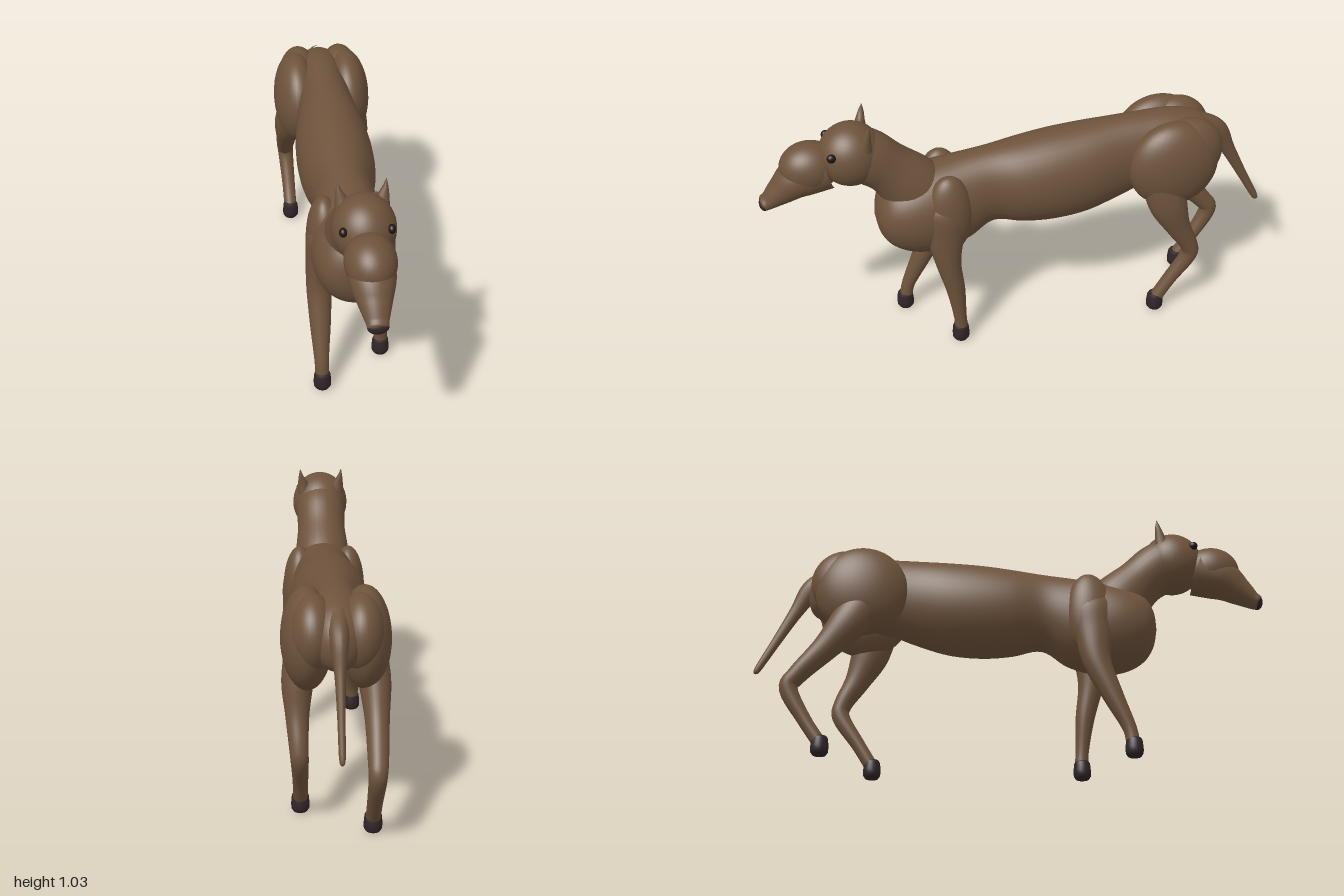
import * as THREE from 'three';

const coat = new THREE.MeshStandardMaterial({ color: 0x6e533c });
coat.name = 'brown coat';
const horn = new THREE.MeshStandardMaterial({ color: 0x31252a });
horn.name = 'dark hoof and nose';
const eyeDark = new THREE.MeshStandardMaterial({ color: 0x1e1617 });
eyeDark.name = 'eye black';

// Smooth skin over elliptical sections [x, y, z, half width in x, half thickness].
function loft(sections, upright = false, sides = 28, perSpan = 6) {
  const curve = (pts) => new THREE.CatmullRomCurve3(pts, false, 'catmullrom', 0.5);
  const path = curve(sections.map((s) => new THREE.Vector3(s[0], s[1], s[2])));
  const size = curve(sections.map((s) => new THREE.Vector3(s[3], s[4], 0)));
  const steps = (sections.length - 1) * perSpan;
  const pos = [], idx = [];
  for (let i = 0; i <= steps; i++) {
    const c = path.getPoint(i / steps), r = size.getPoint(i / steps);
    const t = path.getTangent(i / steps);
    const len = Math.hypot(t.y, t.z) || 1;
    // Normal of the path within the side plane
    const ny = upright ? Math.sign(t.z) : t.z / len;
    const nz = upright ? 0 : -t.y / len;
    const rx = Math.max(r.x, 0.0005), ry = Math.max(r.y, 0.0005);
    for (let j = 0; j < sides; j++) {
      const a = (j / sides) * Math.PI * 2, s = Math.sin(a) * ry;
      pos.push(c.x + Math.cos(a) * rx, c.y + ny * s, c.z + nz * s);
      if (i < steps) {
        const k = (j + 1) % sides, p = i * sides, q = p + sides;
        idx.push(p + j, p + k, q + j, p + k, q + k, q + j);
      }
    }
  }
  const g = new THREE.BufferGeometry();
  g.setAttribute('position', new THREE.Float32BufferAttribute(pos, 3));
  g.setIndex(idx);
  g.computeVertexNormals();
  return g;
}

export function createModel() {
  const model = new THREE.Group();
  model.name = 'animal';

  const add = (name, geometry, material = coat) => {
    const mesh = new THREE.Mesh(geometry, material);
    mesh.name = name;
    model.add(mesh);
    return mesh;
  };
  const ball = (name, center, radii, material = coat) => {
    const mesh = add(name, new THREE.SphereGeometry(1, 36, 24), material);
    mesh.position.set(...center);
    mesh.scale.set(...radii);
    return mesh;
  };

  // Torso from rump to chest: [z, top, bottom, half width]
  const torso = [
    [-0.81, 0.72, 0.72, 0], [-0.78, 0.79, 0.64, 0.06], [-0.71, 0.845, 0.61, 0.1],
    [-0.6, 0.872, 0.58, 0.11], [-0.47, 0.872, 0.55, 0.11], [-0.38, 0.867, 0.515, 0.12],
    [-0.25, 0.857, 0.475, 0.143], [-0.12, 0.845, 0.462, 0.15], [0, 0.828, 0.47, 0.142],
    [0.12, 0.81, 0.49, 0.118], [0.22, 0.795, 0.425, 0.13], [0.33, 0.775, 0.395, 0.152],
    [0.43, 0.755, 0.402, 0.152], [0.51, 0.72, 0.44, 0.128], [0.555, 0.66, 0.5, 0.08],
    [0.572, 0.58, 0.58, 0],
  ];
  add('torso', loft(torso.map(([z, top, low, w]) =>
    [0, (top + low) / 2, z, w, (top - low) / 2]), true, 40));

  // Neck and head
  add('neck', loft([
    [0, 0.59, 0.34, 0.115, 0.13], [0, 0.70, 0.43, 0.11, 0.12],
    [0, 0.785, 0.51, 0.098, 0.1], [0, 0.84, 0.575, 0.1, 0.105],
    [0, 0.88, 0.63, 0.1, 0.1],
  ]));
  ball('cranium', [0, 0.87, 0.645], [0.113, 0.125, 0.122]);
  ball('cheeks', [0, 0.838, 0.8], [0.091, 0.098, 0.113]);
  add('snout', loft([
    [0, 0.83, 0.74, 0.085, 0.09], [0, 0.8, 0.84, 0.083, 0.08],
    [0, 0.75, 0.91, 0.06, 0.055], [0, 0.712, 0.96, 0.041, 0.034],
    [0, 0.702, 0.985, 0.034, 0.025], [0, 0.7, 0.99, 0, 0],
  ]));
  ball('nose', [0, 0.7, 0.98], [0.037, 0.025, 0.019], horn);

  // Tail
  add('tail', loft([
    [0, 0.8, -0.7, 0.04, 0.05], [0, 0.75, -0.79, 0.034, 0.045],
    [0, 0.65, -0.85, 0.02, 0.028], [0, 0.52, -0.92, 0.014, 0.019],
    [0, 0.4, -0.985, 0.011, 0.013], [0, 0.38, -0.993, 0, 0],
  ], false, 16));

  // Legs on the animal's left (+x); the other pair steps further
  const legs = [
    ['frontLeg', 1, [
      [0.09, 0.69, 0.3, 0.02, 0.03], [0.1, 0.63, 0.31, 0.062, 0.09],
      [0.112, 0.52, 0.32, 0.056, 0.075], [0.12, 0.39, 0.315, 0.049, 0.05],
      [0.123, 0.25, 0.29, 0.04, 0.037], [0.126, 0.12, 0.277, 0.028, 0.026],
      [0.126, 0.05, 0.272, 0.027, 0.026]]],
    ['frontLeg', -1, [
      [0.09, 0.69, 0.3, 0.02, 0.03], [0.1, 0.63, 0.31, 0.062, 0.09],
      [0.112, 0.52, 0.315, 0.056, 0.075], [0.12, 0.39, 0.325, 0.049, 0.055],
      [0.123, 0.25, 0.38, 0.04, 0.04], [0.126, 0.12, 0.437, 0.028, 0.027],
      [0.126, 0.05, 0.452, 0.027, 0.026]]],
    ['hindLeg', 1, [
      [0.12, 0.64, -0.53, 0.06, 0.08], [0.135, 0.52, -0.565, 0.058, 0.075],
      [0.138, 0.41, -0.61, 0.043, 0.05], [0.135, 0.31, -0.662, 0.035, 0.036],
      [0.132, 0.25, -0.665, 0.032, 0.034], [0.128, 0.14, -0.595, 0.028, 0.027],
      [0.127, 0.05, -0.54, 0.027, 0.026]]],
    ['hindLeg', -1, [
      [0.12, 0.65, -0.56, 0.06, 0.08], [0.135, 0.54, -0.625, 0.058, 0.075],
      [0.138, 0.43, -0.71, 0.044, 0.052], [0.135, 0.32, -0.81, 0.037, 0.038],
      [0.132, 0.26, -0.84, 0.033, 0.035], [0.128, 0.14, -0.775, 0.028, 0.027],
      [0.127, 0.05, -0.715, 0.027, 0.026]]],
  ];
  const hoof = new THREE.LatheGeometry([
    [0, 0], [0.026, 0.001], [0.033, 0.012], [0.034, 0.03], [0.031, 0.062], [0.026, 0.071], [0, 0.073],
  ].map(([r, y]) => new THREE.Vector2(r, y)), 24);
  for (const [kind, side, path] of legs) {
    const label = (side > 0 ? 'left ' : 'right ') + kind;
    add(label, loft(path.map(([x, ...rest]) => [x * side, ...rest])));
    const foot = path[path.length - 1];
    add(label + ' hoof', hoof, horn).position.set(foot[0] * side, 0, foot[2] + 0.003);
  }

  // Mirrored body masses, ears and eyes
  for (const side of [1, -1]) {
    const label = side > 0 ? 'left ' : 'right ';
    ball(label + 'haunch', [side * 0.103, 0.69, -0.585], [0.093, 0.185, 0.18]);
    ball(label + 'buttock', [side * 0.085, 0.73, -0.65], [0.085, 0.14, 0.135]);
    ball(label + 'shoulder', [side * 0.098, 0.6, 0.3], [0.066, 0.17, 0.09]);
    add(label + 'ear', loft([
      [side * 0.066, 0.92, 0.6, 0.03, 0.03], [side * 0.073, 0.965, 0.592, 0.021, 0.018],
      [side * 0.081, 0.995, 0.586, 0.01, 0.011], [side * 0.085, 1.025, 0.582, 0.001, 0.001],
    ], false, 14));
    ball(label + 'eye', [side * 0.083, 0.912, 0.724], [0.014, 0.017, 0.017], eyeDark);
  }
  return model;
}
